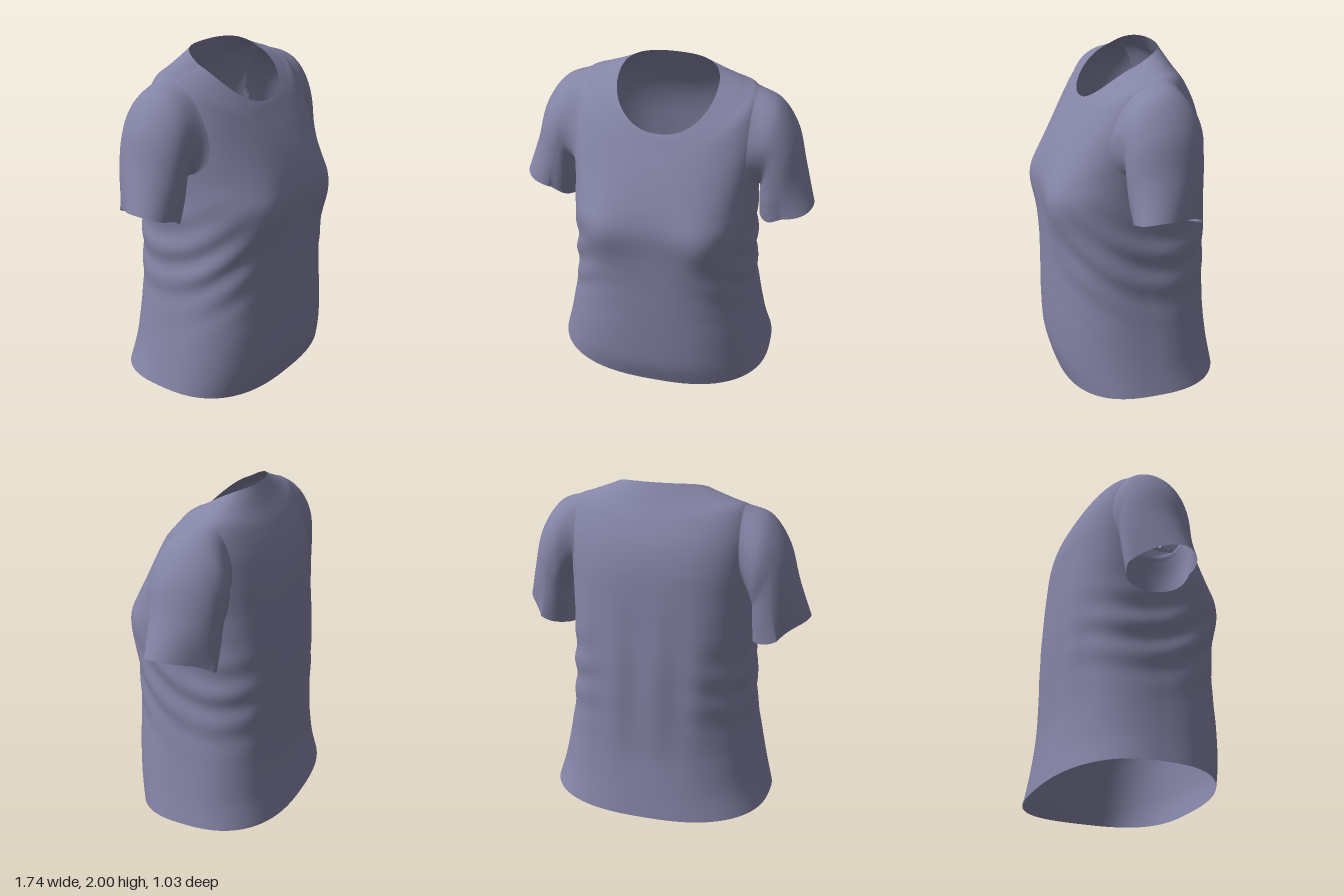
import * as THREE from 'three';

// Smooth interpolation of every column of a table (Catmull-Rom) at row position f
function sampleRows(rows, f) {
  const i = Math.min(Math.floor(f), rows.length - 2);
  const t = f - i;
  const at = (k) => rows[Math.max(0, Math.min(rows.length - 1, k))];
  return rows[i].map((p1, c) => {
    const p0 = at(i - 1)[c], p2 = at(i + 1)[c], p3 = at(i + 2)[c];
    return p1 + 0.5 * t * (p2 - p0 + t * (2 * p0 - 5 * p1 + 4 * p2 - p3 + t * (3 * (p1 - p2) + p3 - p0)));
  });
}

// Open tube of closed rings; point(row, angle) returns [x, y, z], cut(row, angle) leaves holes
function loft(point, lastRow, rings, sides, { flip = false, cut = () => false } = {}) {
  const pos = [], idx = [];
  const row = (r) => (r / rings) * lastRow;
  const angle = (i) => (i / sides) * Math.PI * 2;
  for (let r = 0; r <= rings; r++) {
    for (let i = 0; i < sides; i++) pos.push(...point(row(r), angle(i)));
  }
  for (let r = 0; r < rings; r++) {
    for (let i = 0; i < sides; i++) {
      if (cut(row(r + 0.5), angle(i + 0.5))) continue;
      const a = r * sides + i, b = r * sides + ((i + 1) % sides);
      const c = a + sides, d = b + sides;
      if (flip) idx.push(a, b, c, b, d, c);
      else idx.push(a, c, b, b, c, d);
    }
  }
  const g = new THREE.BufferGeometry();
  g.setAttribute('position', new THREE.Float32BufferAttribute(pos, 3));
  g.setIndex(idx);
  g.computeVertexNormals();
  return g;
}

const power = (v, e) => Math.sign(v) * Math.pow(Math.abs(v), e);
const bell = (v, mid, width) => Math.exp(-(((v - mid) / width) ** 2));

// Hem to neckline: half width, side z, front z, back z, side y, front y, back y, squareness
const torsoRows = [
  [0.68, -0.02, 0.44, -0.515, 0.05, 0.003, 0.03, 2.6],
  [0.64, 0, 0.48, -0.49, 0.2, 0.17, 0.2, 2.5],
  [0.595, 0, 0.49, -0.465, 0.4, 0.4, 0.4, 2.6],
  [0.56, 0, 0.49, -0.46, 0.6, 0.6, 0.6, 2.6],
  [0.545, 0, 0.488, -0.458, 0.8, 0.8, 0.8, 2.7],
  [0.535, 0, 0.49, -0.453, 1.0, 1.0, 1.0, 2.8],
  [0.53, -0.01, 0.497, -0.44, 1.2, 1.18, 1.2, 2.9],
  [0.535, -0.03, 0.472, -0.43, 1.36, 1.3, 1.36, 2.7],
  [0.55, -0.04, 0.422, -0.412, 1.54, 1.42, 1.54, 2.5],
  [0.555, -0.05, 0.36, -0.375, 1.72, 1.54, 1.68, 2.3],
  [0.51, -0.05, 0.307, -0.315, 1.862, 1.63, 1.8, 2.2],
  [0.42, -0.03, 0.272, -0.25, 1.898, 1.69, 1.9, 2.2],
  [0.285, 0.01, 0.255, -0.19, 1.925, 1.715, 2.0, 2.3],
];

function torsoPoint(f, a) {
  const [hw, zs, zf, zb, ys, yf, yb, n] = sampleRows(torsoRows, f);
  const s = Math.sin(a);
  const cx = power(Math.cos(a), 2 / n), w = power(s, 2 / n);
  const y = ys + (s * (yf - yb)) / 2 + s * s * ((yf + yb) / 2 - ys);
  let x = hw * cx;
  let z = zs + (w > 0 ? w * (zf - zs) : w * (zs - zb));
  // bust
  if (w > 0) z += 0.045 * w * bell(y, 1.15, 0.2) * bell(Math.abs(x), 0.33, 0.17);
  // slanting drape folds below the arms
  const side = Math.abs(cx) ** 3 * bell(y, 0.85, 0.25);
  const fold = 0.009 * side * Math.sin(30 * (y - (z + 0.15) ** 2));
  x += fold * Math.sign(cx);
  z += fold * w;
  // soft upright folds down the back
  if (w < 0) z += 0.006 * w * w * Math.sin(26 * x) * bell(y, 0.85, 0.4);
  return [x, y, z];
}

// Armhole: an oval on the torso, measured in rows and in angle from the side
const armhole = { row: 8.7, rows: 1.6, angle: 0.56 };

function armholePoint(phi, scale) {
  const f = armhole.row + armhole.rows * scale * Math.cos(phi);
  return torsoPoint(f, armhole.angle * scale * Math.sin(phi));
}

function insideArmhole(f, a) {
  const fromSide = Math.asin(Math.sin(a));
  return Math.hypot((f - armhole.row) / armhole.rows, fromSide / armhole.angle) < 0.93;
}

// Cuff to shoulder: outer x, outer y, inner x, inner y, centre z, half depth, cuff shaping
const sleeveRows = [
  [0.87, 1.23, 0.55, 1.09, -0.06, 0.19, 1],
  [0.8, 1.45, 0.545, 1.2, -0.055, 0.207, 0.2],
  [0.737, 1.67, 0.545, 1.28, -0.055, 0.215, 0],
  [0.625, 1.83, 0.545, 1.32, -0.058, 0.222, 0],
];

function sleeveRing([xo, yo, xi, yi, zc, rz, cuff], phi) {
  const c = Math.cos(phi), s = Math.sin(phi);
  const k = (power(c, c > 0 ? 1 + 0.4 * cuff : 0.8) + 1) / 2;
  // rippled cuff, its outer corner drawn forward
  const ripple = 0.01 * Math.sin(3 * phi + 0.6) * cuff * s * s;
  return [
    xi + (xo - xi) * k + ripple,
    yi + (yo - yi) * k - ripple,
    zc + rz * s + 0.07 * Math.max(0, c) * cuff,
  ];
}

// The sleeve leaves the armhole along the slope of the torso
function sleevePoint(side) {
  return (f, phi) => {
    const line = sleeveRows.map((row) => sleeveRing(row, phi));
    line.push(armholePoint(phi, 1), armholePoint(phi, 1.25));
    const [x, y, z] = sampleRows(line, f);
    return [side * x, y, z];
  };
}

export function createModel() {
  const group = new THREE.Group();
  group.name = 'shirt';
  const cloth = new THREE.MeshStandardMaterial({ color: 0x8484a6, side: THREE.DoubleSide });
  cloth.name = 'greyBlueCloth';

  const add = (name, geometry) => {
    const mesh = new THREE.Mesh(geometry, cloth);
    mesh.name = name;
    group.add(mesh);
  };
  add('body', loft(torsoPoint, torsoRows.length - 1, 144, 160, { cut: insideArmhole }));
  add('leftSleeve', loft(sleevePoint(1), sleeveRows.length, 48, 72));
  add('rightSleeve', loft(sleevePoint(-1), sleeveRows.length, 48, 72, { flip: true }));
  return group;
}
